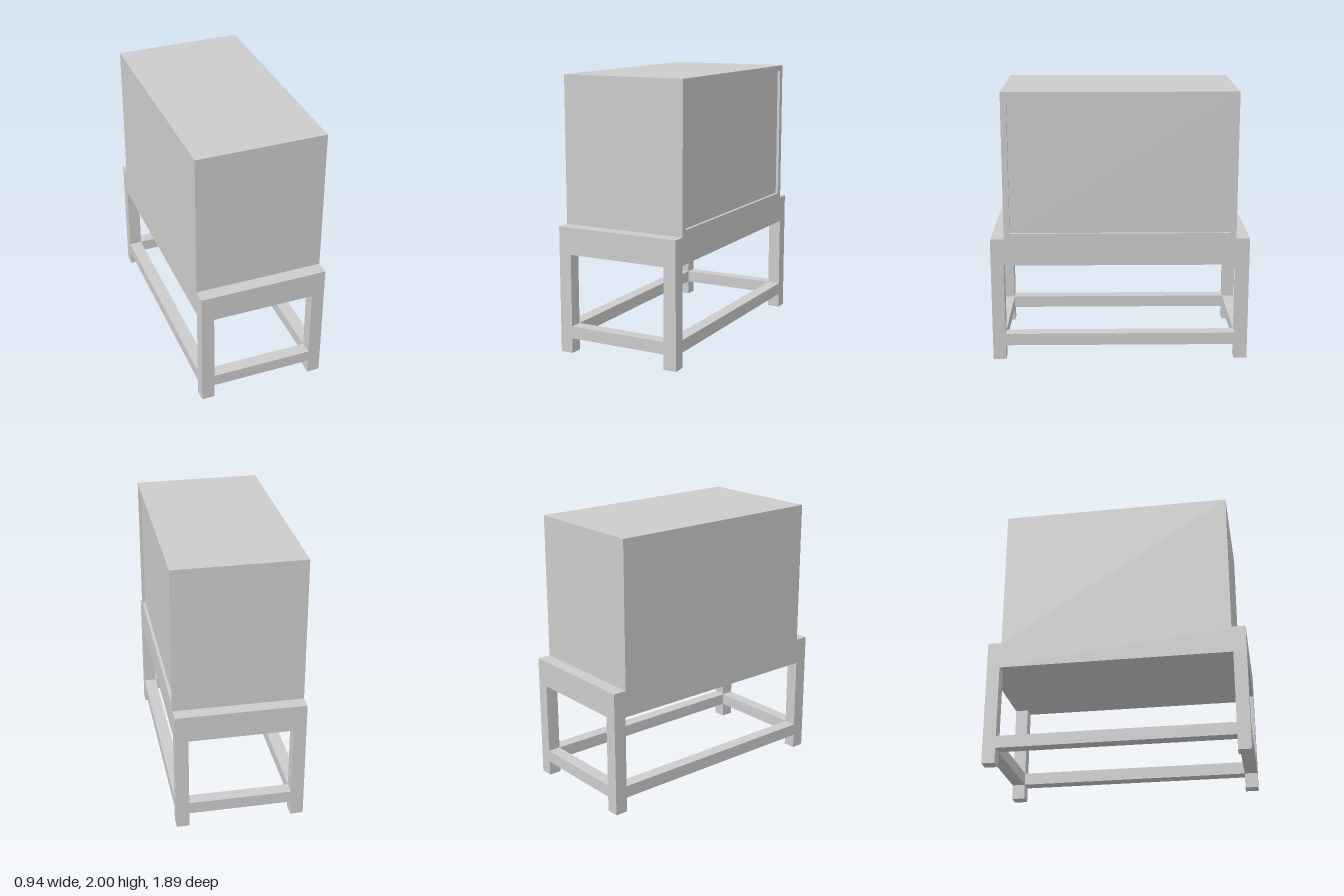
import * as THREE from 'three';

const material = new THREE.MeshStandardMaterial({ color: 0xcccccc, flatShading: true });

// Box given by its minimum and maximum corners
function block(parent, name, [x0, y0, z0], [x1, y1, z1]) {
  const mesh = new THREE.Mesh(new THREE.BoxGeometry(x1 - x0, y1 - y0, z1 - z0), material);
  mesh.position.set((x0 + x1) / 2, (y0 + y1) / 2, (z0 + z1) / 2);
  mesh.name = name;
  parent.add(mesh);
}

export function createModel() {
  const model = new THREE.Group();
  model.name = 'cabinetOnStand';
  const X = 0.472, Z = 0.945, leg = 0.095;      // stand half sizes, leg thickness
  const seatY = 0.73, standTop = 0.927;
  const railLow = 0.11, railHigh = 0.2;
  const xi = X - leg, zi = Z - leg;

  // Stand: thick top slab, four legs and a ring of low stretchers
  const stand = new THREE.Group();
  stand.name = 'stand';
  block(stand, 'standTop', [-X, seatY, -Z], [X, standTop, Z]);
  for (const sx of [-1, 1]) {
    const x0 = sx < 0 ? -X : xi;
    for (const sz of [-1, 1]) {
      const z0 = sz < 0 ? -Z : zi;
      block(stand, 'leg', [x0, 0, z0], [x0 + leg, seatY, z0 + leg]);
    }
    block(stand, 'sideStretcher', [x0, railLow, -zi], [x0 + leg, railHigh, zi]);
    block(stand, 'endStretcher', [-xi, railLow, sx < 0 ? -Z : zi], [xi, railHigh, sx < 0 ? -zi : Z]);
  }
  model.add(stand);

  // Cabinet: solid body with a raised rim around a shallow recess on the +x side
  const cabinet = new THREE.Group();
  cabinet.name = 'cabinet';
  const cz = 0.845, top = 2, depth = 0.022, rim = 0.043;
  block(cabinet, 'cabinetBody', [-X, standTop, -cz], [X - depth, top, cz]);

  const outline = new THREE.Shape([
    new THREE.Vector2(-cz, standTop), new THREE.Vector2(cz, standTop),
    new THREE.Vector2(cz, top), new THREE.Vector2(-cz, top),
  ]);
  const a = cz - rim, low = standTop + rim, high = top - rim;
  outline.holes.push(new THREE.Path([
    new THREE.Vector2(-a, low), new THREE.Vector2(-a, high),
    new THREE.Vector2(a, high), new THREE.Vector2(a, low),
  ]));
  const frame = new THREE.Mesh(
    new THREE.ExtrudeGeometry(outline, { depth, bevelEnabled: false }), material);
  frame.name = 'panelFrame';
  frame.rotation.y = Math.PI / 2;
  frame.position.x = X - depth;
  cabinet.add(frame);
  model.add(cabinet);

  return model;
}
